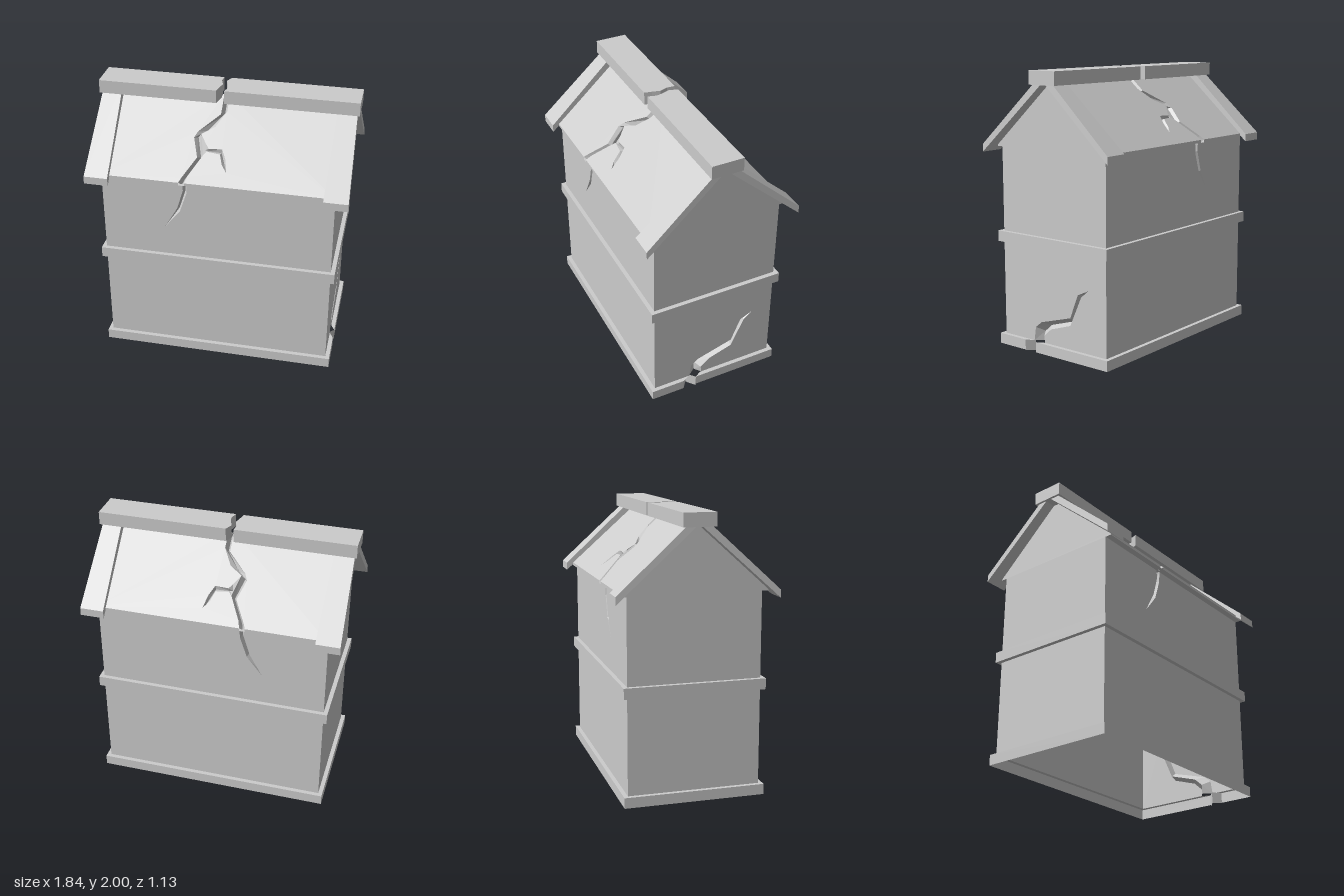
import * as THREE from 'three';

const W = 0.82, D = 0.47;            // body half width and half depth
const EAVE = 1.455, EDGE = 1.476, APEX = 1.925, RUN = 0.515;
const SLOPE = (APEX - EDGE) / RUN;

export function createModel() {
  const model = new THREE.Group();
  const stone = new THREE.MeshStandardMaterial({ color: 0xcccccc });
  stone.name = 'pale stone';
  stone.side = THREE.DoubleSide;

  function add(name, geometry) {
    const mesh = new THREE.Mesh(geometry, stone);
    mesh.name = name;
    model.add(mesh);
    return mesh;
  }
  const shapeOf = (pts) => new THREE.Shape(pts.map(([x, y]) => new THREE.Vector2(x, y)));

  // Flat outline placed on a surface by place(u, v, depth)
  function panel(name, pts, place) {
    const g = new THREE.ShapeGeometry(shapeOf(pts));
    const p = g.attributes.position;
    for (let i = 0; i < p.count; i++) p.setXYZ(i, ...place(p.getX(i), p.getY(i), 0));
    g.computeVertexNormals();
    add(name, g);
  }

  // V-shaped groove between two crack edges, sunk below the surface
  function groove(name, left, right, depth, place, bias = 0.5) {
    const pos = [];
    const row = left.map(([a, b], i) => {
      const [c, d] = right[i];
      return [place(a, b, 0), place(a + (c - a) * bias, b + (d - b) * bias, depth), place(c, d, 0)];
    });
    for (let i = 0; i + 1 < row.length; i++) {
      for (let j = 0; j < 2; j++) {
        const a = row[i][j], b = row[i][j + 1], c = row[i + 1][j + 1], d = row[i + 1][j];
        pos.push(...a, ...b, ...c, ...a, ...c, ...d);
      }
    }
    const g = new THREE.BufferGeometry();
    g.setAttribute('position', new THREE.Float32BufferAttribute(pos, 3));
    g.computeVertexNormals();
    add(name, g);
  }

  // Crack edges, listed from bottom to top
  const roofL = [[-0.255, EDGE], [-0.24, 1.5], [-0.155, 1.605], [-0.2, 1.7], [-0.18, 1.73], [-0.04, 1.825], [-0.04, APEX]];
  const roofR = [[-0.215, EDGE], [-0.2, 1.51], [-0.115, 1.62], [-0.155, 1.72], [-0.065, 1.76], [0, 1.84], [0, APEX]];
  const branchLow = [[-0.115, 1.62], [-0.095, 1.637], [0, 1.63], [0.025, 1.58], [0.065, 1.545]];
  const branchTop = [[-0.11, 1.675], [-0.085, 1.652], [0.01, 1.655], [0.045, 1.605], [0.065, 1.545]];
  const wallL = [[-0.37, 1.08], [-0.28, 1.24], [-0.235, 1.39], [-0.24, EAVE]];
  const wallR = [[-0.37, 1.08], [-0.26, 1.22], [-0.21, 1.37], [-0.205, EAVE]];
  const sideL = [[0.19, 0.09], [0.175, 0.19], [0.12, 0.235], [-0.15, 0.315], [-0.22, 0.49], [-0.315, 0.535]];
  const sideR = [[0.09, 0.09], [0.095, 0.14], [0.03, 0.2], [-0.15, 0.26], [-0.25, 0.48], [-0.315, 0.535]];

  // Long walls and roof slopes, mirrored front to back
  for (const s of [1, -1]) {
    const end = s > 0 ? 'front' : 'back';
    const onWall = (x, y, d) => [x, y, s * (D - d)];
    const onRoof = (x, y, d) => [x, y - d * 0.7, s * ((APEX - y) / SLOPE - d * 0.7)];

    panel(end + 'Wall', [[-W, 0.09], [W, 0.09], [W, EAVE], ...[...wallR].reverse(), ...wallL.slice(1), [-W, EAVE]], onWall);
    groove(end + 'WallCrack', wallL, wallR, 0.03, onWall);

    panel(end + 'RoofLeftPart', [[-W, EDGE], ...roofL, [-W, APEX]], onRoof);
    panel(end + 'RoofRightPart', [[W, APEX], [W, EDGE], ...roofR.slice(0, 2), ...branchLow,
      ...branchTop.slice(0, 4).reverse(), ...roofR.slice(3)], onRoof);
    groove(end + 'RoofCrack', roofL, roofR, 0.04, onRoof);
    groove(end + 'RoofCrackBranch', branchLow, branchTop, 0.025, onRoof);

    // Narrow upright edge of the eave
    const onEave = (x, y) => [x, y, s * RUN];
    panel(end + 'EaveLeftPart', [[-W, EAVE], [-0.255, EAVE], [-0.255, EDGE], [-W, EDGE]], onEave);
    panel(end + 'EaveRightPart', [[-0.215, EAVE], [W, EAVE], [W, EDGE], [-0.215, EDGE]], onEave);
  }
  panel('roofUnderside', [[-W, -RUN], [W, -RUN], [W, RUN], [-W, RUN]], (x, z) => [x, EAVE, z]);

  // End walls, gables and roof end strips
  const onSide = (z, y, d) => [W - d, y, z];
  panel('leftWall', [[D, 0.09], ...sideL, ...sideR.slice(0, 5).reverse(), [-D, 0.09], [-D, EAVE], [D, EAVE]], onSide);
  groove('sideCrack', sideL, sideR, 0.05, onSide, 0.6);
  panel('rightWall', [[-D, 0.09], [D, 0.09], [D, EAVE], [-D, EAVE]], (z, y) => [-W, y, z]);

  for (const s of [1, -1]) {
    panel(s > 0 ? 'leftGable' : 'rightGable',
      [[-RUN, EAVE], [RUN, EAVE], [RUN, EDGE], [0, APEX], [-RUN, EDGE]], (z, y) => [s * W, y, z]);

    const strip = new THREE.ExtrudeGeometry(
      shapeOf([[0.565, 1.42], [0.565, 1.475], [0, 1.99], [-0.565, 1.475], [-0.565, 1.42], [0, APEX]]),
      { depth: 1, bevelEnabled: false });
    const p = strip.attributes.position;
    for (let i = 0; i < p.count; i++) {
      const y = p.getY(i), t = (y - 1.42) / 0.5;
      const x = THREE.MathUtils.lerp(0.745 + 0.018 * t, 0.918 - 0.018 * t, p.getZ(i));
      p.setXYZ(i, x, y, -p.getX(i));
    }
    strip.computeVertexNormals();
    if (s < 0) strip.rotateY(Math.PI);
    add(s > 0 ? 'leftRoofStrip' : 'rightRoofStrip', strip);
  }

  // Ridge cap, broken in two by a ragged gap
  const ridge = (name, pts) => add(name,
    new THREE.ExtrudeGeometry(shapeOf(pts), { depth: 0.095, bevelEnabled: false })
      .rotateX(Math.PI / 2).translate(0, 2, 0));
  ridge('ridgeRightPart', [[-0.917, -0.117], [-0.065, -0.117], [-0.07, -0.06], [-0.05, 0], [-0.065, 0.06], [-0.075, 0.113], [-0.917, 0.113]]);
  ridge('ridgeLeftPart', [[0.917, -0.117], [0.917, 0.113], [-0.02, 0.113], [-0.003, 0.05], [-0.015, 0], [-0.035, -0.06], [-0.01, -0.117]]);

  // Middle band around the body
  const bandShape = shapeOf([[-0.85, -0.5], [0.85, -0.5], [0.85, 0.5], [-0.85, 0.5]]);
  bandShape.holes.push(new THREE.Path([[-W, -D], [-W, D], [W, D], [W, -D]].map(([x, y]) => new THREE.Vector2(x, y))));
  add('middleBand', new THREE.ExtrudeGeometry(bandShape, { depth: 0.077, bevelEnabled: false })
    .rotateX(Math.PI / 2).translate(0, 0.852, 0));

  // Base band: open underneath, with a chipped notch on the left side
  const rim = [[0.85, 0.25], [0.85, 0.5], [-0.85, 0.5], [-0.85, -0.5], [0.85, -0.5], [0.85, 0.15]];
  const inner = [[W, 0.1], [W, -D], [-W, -D], [-W, D], [W, D], [W, 0.19]];
  panel('baseBandTop', [...rim, ...inner], (x, z) => [x, 0.09, z]);
  for (let i = 0; i + 1 < rim.length; i++) {
    const [a, b] = [rim[i], rim[i + 1]];
    panel('baseBandSide', [[0, 0.015], [1, 0.015], [1, 0.09], [0, 0.09]],
      (t, y) => [a[0] + (b[0] - a[0]) * t, y, a[1] + (b[1] - a[1]) * t]);
  }
  groove('baseBandChip', [[0.25, 0.012], [0.25, 0.09]], [[0.15, 0], [0.15, 0.09]], 0.06,
    (z, y, d) => [0.85 - d, y, z], 0.45);

  return model;
}
